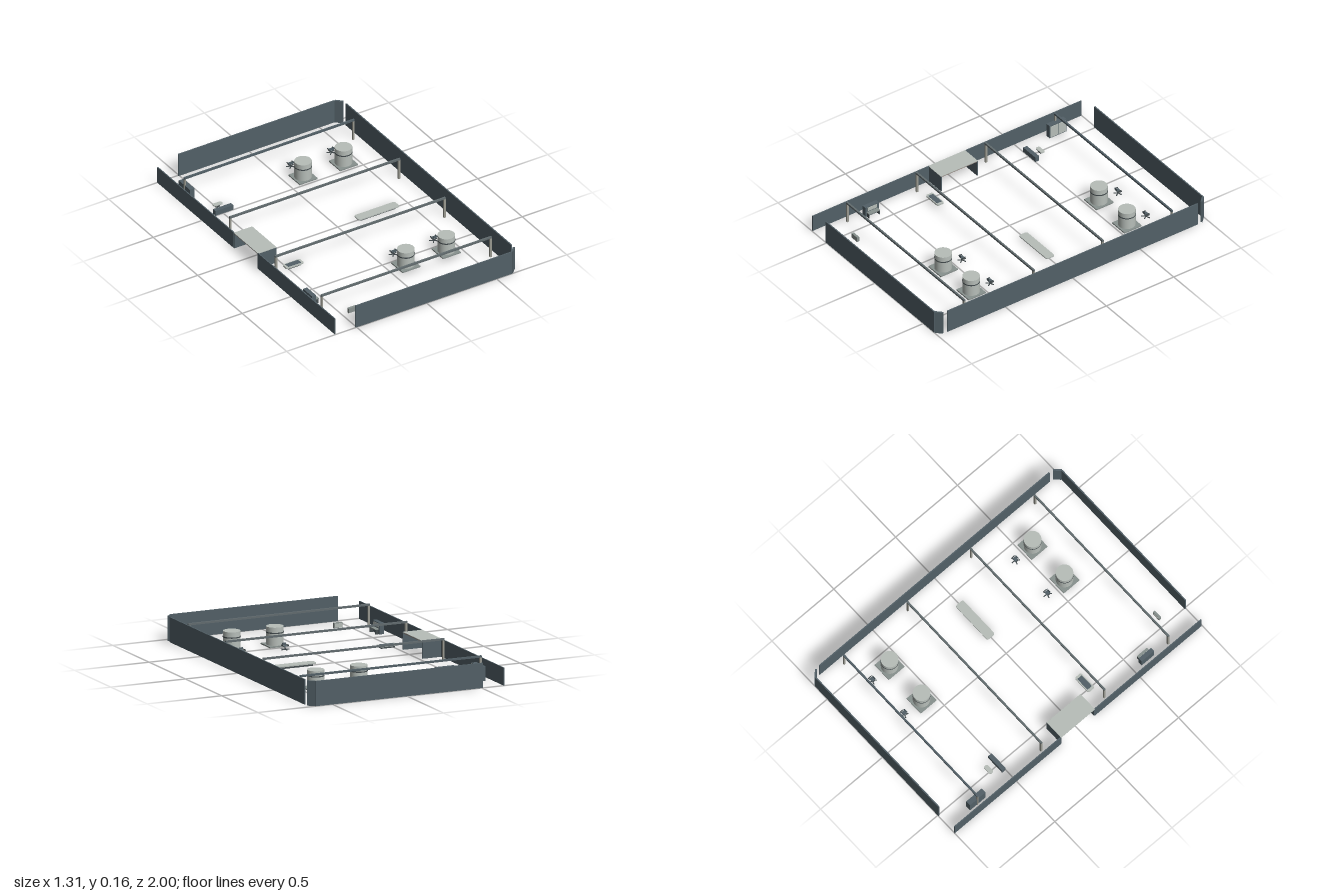
import * as THREE from 'three';

const mat = (name, color) => {
  const m = new THREE.MeshStandardMaterial({ color });
  m.name = name;
  return m;
};

export function createModel() {
  const root = new THREE.Group();
  root.name = 'facility';
  const slate = mat('slate wall', 0x526067);
  const pale = mat('pale grey', 0xb7beb9);
  const grey = mat('mid grey', 0x88918e);
  const dark = mat('dark steel', 0x444c4f);
  const beamGrey = mat('beam grey', 0x626c6f);
  const tan = mat('warm post grey', 0x98988f);
  const brown = mat('ceiling brown', 0x94877f);

  const add = (name, geo, material, x, y, z, parent = root) => {
    const m = new THREE.Mesh(geo, material);
    m.name = name;
    m.position.set(x, y, z);
    parent.add(m);
    return m;
  };
  // Box given by its lower and upper limits on each axis
  const box = (name, material, x0, x1, y0, y1, z0, z1, parent = root) =>
    add(name, new THREE.BoxGeometry(x1 - x0, y1 - y0, z1 - z0), material,
      (x0 + x1) / 2, (y0 + y1) / 2, (z0 + z1) / 2, parent);
  // Flat slab with rounded corners, lying on y0
  const slab = (name, material, x0, x1, y0, y1, z0, z1, r) => {
    const w = (x1 - x0) / 2, d = (z1 - z0) / 2, s = new THREE.Shape();
    s.absarc(w - r, d - r, r, 0, Math.PI / 2);
    s.absarc(-w + r, d - r, r, Math.PI / 2, Math.PI);
    s.absarc(-w + r, -d + r, r, Math.PI, Math.PI * 1.5);
    s.absarc(w - r, -d + r, r, Math.PI * 1.5, Math.PI * 2);
    const g = new THREE.ExtrudeGeometry(s, { depth: y1 - y0, bevelEnabled: false, curveSegments: 5 });
    g.rotateX(-Math.PI / 2);
    return add(name, g, material, (x0 + x1) / 2, y0, (z0 + z1) / 2);
  };

  // Outer walls
  const H = 0.155, LOW = 0.11;
  for (const s of [-1, 1]) {
    box('sideWall', slate, -0.507, 0.61, 0, H, s * 0.996 - 0.004, s * 0.996 + 0.004);
    const corner = add('cornerWall', new THREE.BoxGeometry(0.052, H, 0.012), slate, 0.63, H / 2, s * 0.977);
    corner.rotation.y = s * Math.PI / 4;
  }
  box('longWall', slate, 0.646, 0.654, 0, H, -0.93, 0.93);
  box('entranceWall', slate, -0.654, -0.647, 0, LOW, -1, -0.14);
  box('entranceWall', slate, -0.654, -0.647, 0, LOW, 0.13, 0.995);

  // Open entrance passage
  box('passageRoof', pale, -0.654, -0.522, LOW - 0.003, LOW, -0.14, 0.134);
  box('passageCeiling', brown, -0.652, -0.524, LOW - 0.009, LOW - 0.003, -0.138, 0.132);
  box('passageSide', slate, -0.652, -0.522, 0, LOW - 0.003, -0.14, -0.134);
  box('passageSide', slate, -0.652, -0.522, 0, LOW - 0.003, 0.128, 0.134);

  // Roof beams on end posts
  for (const z of [-0.772, -0.258, 0.254, 0.77]) {
    const frame = new THREE.Group();
    frame.name = 'beamFrame';
    root.add(frame);
    box('beam', z < -0.5 ? slate : beamGrey, -0.609, 0.607, 0.132, 0.144, z - 0.006, z + 0.006, frame);
    for (const x of [-0.603, 0.601])
      box('post', tan, x - 0.006, x + 0.006, 0, 0.132, z - 0.006, z + 0.006, frame);
  }

  // Banded tanks on square plates, each with a small swivel chair
  const tank = (x, z) => {
    const g = new THREE.Group();
    g.name = 'tank';
    g.position.set(x, 0, z);
    root.add(g);
    box('tankPlate', grey, -0.064, 0.064, 0, 0.008, -0.064, 0.064, g);
    add('tankBody', new THREE.CylinderGeometry(0.0535, 0.0535, 0.112, 32), pale, 0, 0.064, 0, g);
    add('tankBand', new THREE.CylinderGeometry(0.0545, 0.0545, 0.007, 32), dark, 0, 0.085, 0, g);
  };
  const chair = (x, z) => {
    const g = new THREE.Group();
    g.name = 'chair';
    g.position.set(x, 0, z);
    root.add(g);
    for (let i = 0; i < 5; i++) {
      const leg = add('chairLeg', new THREE.BoxGeometry(0.028, 0.004, 0.006).translate(0.014, 0, 0), dark, 0, 0.004, 0, g);
      leg.rotation.y = Math.PI / 2 + i * Math.PI * 0.4;
    }
    add('chairStem', new THREE.CylinderGeometry(0.003, 0.003, 0.02, 8), dark, 0, 0.014, 0, g);
    box('chairSeat', slate, -0.013, 0.013, 0.022, 0.026, -0.012, 0.012, g);
    box('chairBack', slate, -0.012, 0.012, 0.028, 0.042, 0.012, 0.015, g);
    for (const s of [-1, 1])
      box('chairArm', dark, s * 0.018 - 0.002, s * 0.018 + 0.002, 0.026, 0.032, -0.012, 0.012, g);
  };
  for (const x of [0.119, 0.408]) {
    for (const z of [-0.578, 0.578]) tank(x, z);
    for (const z of [-0.719, 0.438]) chair(x, z);
  }

  // Long low table
  slab('longTableTop', pale, 0.134, 0.425, 0.013, 0.02, -0.031, 0.029, 0.012);
  box('longTableBase', dark, 0.152, 0.406, 0, 0.013, -0.018, 0.016);

  // Tall cabinet by the entrance wall
  box('cabinet', slate, -0.606, -0.572, 0, 0.09, -0.834, -0.709);
  for (const z of [-0.829, -0.769])
    box('cabinetDoor', pale, -0.572, -0.569, 0.006, 0.084, z, z + 0.055);

  // Console: upright back, shelf and screen
  box('consoleBack', slate, -0.602, -0.574, 0, 0.07, 0.558, 0.658);
  box('consoleShelf', grey, -0.574, -0.547, 0.028, 0.034, 0.568, 0.648);
  box('consoleScreen', pale, -0.574, -0.571, 0.04, 0.064, 0.574, 0.642);
  for (const z of [0.568, 0.643])
    box('consoleLeg', dark, -0.57, -0.55, 0, 0.028, z, z + 0.005);

  // Counter and small side table
  box('counter', slate, -0.555, -0.428, 0, 0.033, -0.528, -0.5);
  slab('sideTableTop', pale, -0.521, -0.458, 0.016, 0.022, -0.594, -0.565, 0.011);
  box('sideTableBase', dark, -0.503, -0.476, 0, 0.016, -0.586, -0.573);

  // Low table with slate inset
  slab('lowTableTop', pale, -0.522, -0.398, 0.011, 0.02, 0.198, 0.248, 0.011);
  box('lowTableInset', slate, -0.506, -0.414, 0.02, 0.021, 0.205, 0.241);
  box('lowTableBase', dark, -0.505, -0.415, 0, 0.011, 0.208, 0.238);

  // Small notice panel
  box('noticePanel', grey, -0.457, -0.4, 0, 0.032, 0.828, 0.844);
  box('noticeFace', pale, -0.453, -0.404, 0.004, 0.028, 0.826, 0.828);

  return root;
}
